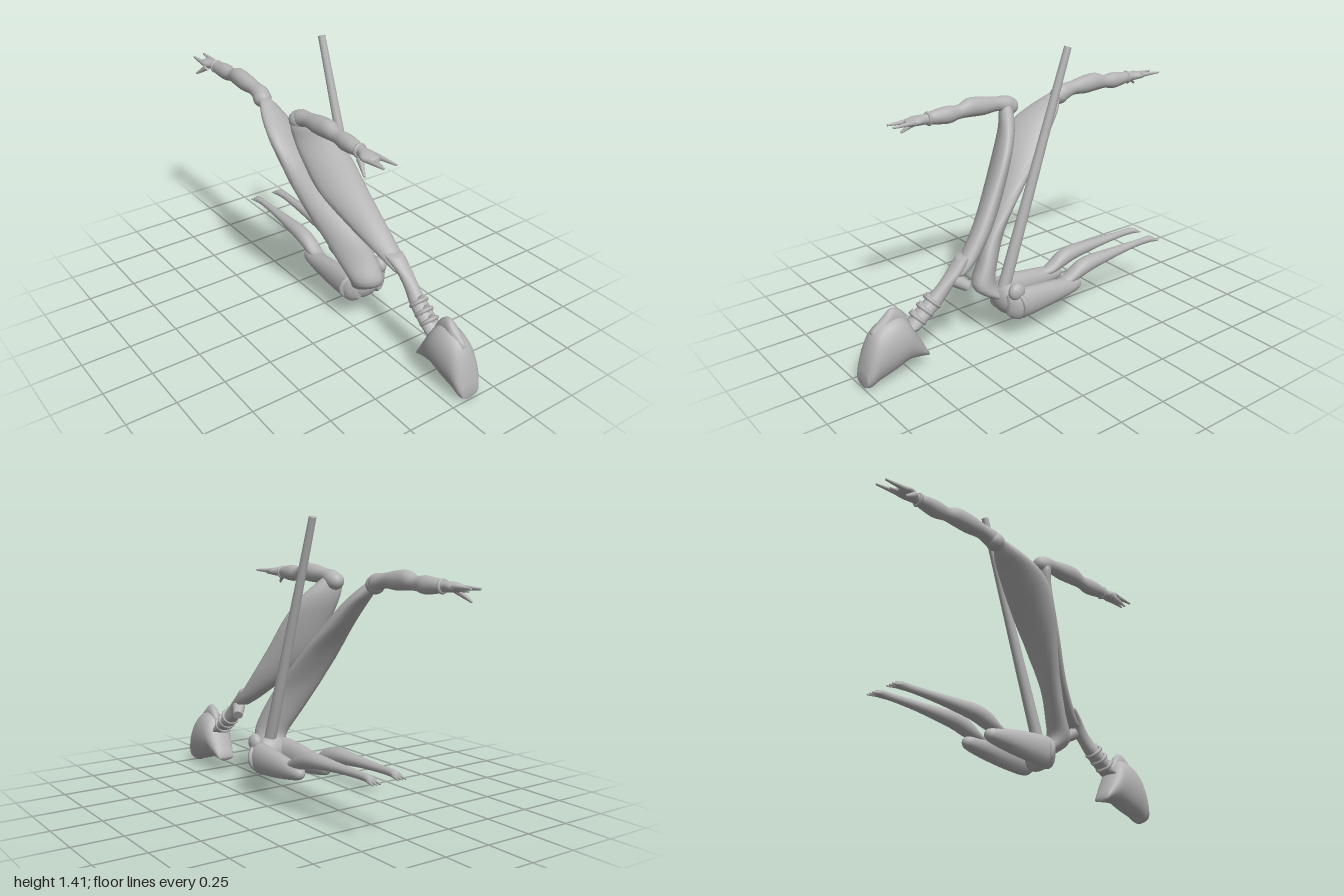
import * as THREE from 'three';

const grey = new THREE.MeshStandardMaterial({ color: 0xb4b4b4 });
grey.name = 'plain grey';

// Smooth closed skin through elliptical sections [x, y, z, halfA, halfB, degrees].
// axis 'z': sections lie in the xy plane; axis 'y': sections lie in the xz plane.
function loft(name, axis, rows, sides = 16, steps = 4) {
  const spline = (k, s) => {
    const i = Math.min(Math.floor(s), rows.length - 2), t = s - i;
    const at = (j) => rows[Math.max(0, Math.min(rows.length - 1, j))][k] || 0;
    const m0 = (at(i + 1) - at(i - 1)) / 2, m1 = (at(i + 2) - at(i)) / 2;
    const t2 = t * t, t3 = t2 * t;
    return (2 * t3 - 3 * t2 + 1) * at(i) + (t3 - 2 * t2 + t) * m0 + (3 * t2 - 2 * t3) * at(i + 1) + (t3 - t2) * m1;
  };
  const pos = [], idx = [], n = (rows.length - 1) * steps;
  for (let r = 0; r <= n; r++) {
    const [x, y, z, a, b, deg] = [0, 1, 2, 3, 4, 5].map((k) => spline(k, r / steps));
    const turn = THREE.MathUtils.degToRad(deg);
    for (let s = 0; s < sides; s++) {
      const q = (s / sides) * Math.PI * 2;
      const p = a * Math.cos(q), w = b * Math.sin(q);
      const u = p * Math.cos(turn) - w * Math.sin(turn), v = p * Math.sin(turn) + w * Math.cos(turn);
      pos.push(x + u, axis === 'z' ? y + v : y, axis === 'z' ? z : z + v);
    }
  }
  const first = rows[0], last = rows[rows.length - 1];
  const flip = axis === 'z' ? last[2] < first[2] : last[1] > first[1];
  const tri = (a, b, c) => (flip ? idx.push(a, c, b) : idx.push(a, b, c));
  const c0 = pos.length / 3;
  pos.push(...first.slice(0, 3), ...last.slice(0, 3));
  for (let s = 0; s < sides; s++) {
    const t = (s + 1) % sides;
    for (let r = 0; r < n; r++) {
      const a = r * sides + s, b = r * sides + t;
      tri(a, b, b + sides);
      tri(a, b + sides, a + sides);
    }
    tri(c0, t, s);
    tri(c0 + 1, n * sides + s, n * sides + t);
  }
  const g = new THREE.BufferGeometry();
  g.setAttribute('position', new THREE.Float32BufferAttribute(pos, 3));
  g.setIndex(idx);
  g.computeVertexNormals();
  return named(name, g);
}

function named(name, geometry) {
  const m = new THREE.Mesh(geometry, grey);
  m.name = name;
  return m;
}

function ball(name, [x, y, z], [a, b, c]) {
  const m = named(name, new THREE.SphereGeometry(1, 16, 12));
  m.position.set(x, y, z);
  m.scale.set(a, b, c);
  return m;
}

// Tapered round bar between two points
function rod(name, from, to, r0, r1, sides = 8) {
  const a = new THREE.Vector3(...from), d = new THREE.Vector3(...to).sub(a);
  const m = named(name, new THREE.CylinderGeometry(r1, r0, d.length(), sides));
  m.position.copy(a).addScaledVector(d, 0.5);
  m.quaternion.setFromUnitVectors(new THREE.Vector3(0, 1, 0), d.normalize());
  return m;
}

function ring(name, p, normal, radius, tube) {
  const m = named(name, new THREE.TorusGeometry(radius, tube, 8, 20));
  m.position.set(...p);
  m.quaternion.setFromUnitVectors(new THREE.Vector3(0, 0, 1), new THREE.Vector3(...normal).normalize());
  return m;
}

function makeArm(name, mapZ) {
  const arm = new THREE.Group();
  arm.name = name;
  const at = (x, y, z) => [x, y, mapZ(z)];
  const rows = [
    [-0.14, 1.10, -0.04, 0.02, 0.025], [-0.14, 1.10, 0.0, 0.042, 0.045], [-0.14, 1.115, 0.07, 0.036, 0.036],
    [-0.14, 1.12, 0.15, 0.042, 0.046], [-0.138, 1.125, 0.23, 0.04, 0.046], [-0.137, 1.115, 0.29, 0.031, 0.034],
    [-0.137, 1.112, 0.35, 0.038, 0.042], [-0.14, 1.112, 0.42, 0.034, 0.034], [-0.14, 1.112, 0.47, 0.025, 0.025],
    [-0.145, 1.112, 0.52, 0.042, 0.022], [-0.143, 1.11, 0.56, 0.036, 0.016], [-0.14, 1.11, 0.575, 0.022, 0.01],
  ].map(([x, y, z, a, b]) => [...at(x, y, z), a, b]);
  arm.add(loft('armAndPalm', 'z', rows));
  arm.add(ball('shoulder', at(-0.145, 1.09, -0.01), [0.045, 0.045, 0.05]));
  arm.add(ring('wristBand', at(-0.14, 1.112, 0.455), [0, 0, 1], 0.026, 0.009));
  // Three fingers and a thumb
  [[-0.17, 1.11, -0.165, 1.112, 0.655], [-0.142, 1.108, -0.14, 1.10, 0.61], [-0.118, 1.115, -0.103, 1.115, 0.66]]
    .forEach(([x0, y0, x1, y1, z1]) => arm.add(rod('finger', at(x0, y0, 0.54), at(x1, y1, z1), 0.014, 0.005)));
  arm.add(rod('thumb', at(-0.172, 1.10, 0.5), at(-0.2, 1.05, 0.57), 0.017, 0.005));
  return arm;
}

function makeLeg(name, side) {
  const leg = new THREE.Group();
  leg.name = name;
  const X = (d) => 0.107 + side * d;
  leg.add(loft('thigh', 'z', [
    [X(0.065), 0.2, 0.24, 0.02, 0.05], [X(0.075), 0.2, 0.2, 0.05, 0.08], [X(0.082), 0.2, 0.12, 0.05, 0.077],
    [X(0.082), 0.2, 0.0, 0.047, 0.065], [X(0.08), 0.2, -0.13, 0.042, 0.045], [X(0.078), 0.2, -0.19, 0.03, 0.03],
    [X(0.078), 0.2, -0.21, 0.008, 0.01],
  ]));
  leg.add(loft('shin', 'z', [
    [X(0.072), 0.225, -0.07, 0.02, 0.015], [X(0.072), 0.235, -0.13, 0.036, 0.025], [X(0.073), 0.265, -0.2, 0.041, 0.042],
    [X(0.074), 0.285, -0.28, 0.04, 0.04], [X(0.073), 0.292, -0.4, 0.032, 0.03], [X(0.071), 0.296, -0.52, 0.023, 0.022],
    [X(0.07), 0.298, -0.64, 0.017, 0.018], [X(0.07), 0.297, -0.7, 0.02, 0.018], [X(0.07), 0.292, -0.73, 0.022, 0.013],
  ]));
  for (const t of [-1, 0, 1])
    leg.add(rod('toe', [X(0.07) + t * 0.014, 0.292, -0.715], [X(0.07) + t * 0.02, 0.283, -0.758], 0.01, 0.004, 6));
  leg.add(ring('hipBand', [X(0.072), 0.2, 0.19], [side * 0.25, -0.1, 1], 0.062, 0.014));
  return leg;
}

export function createModel() {
  const model = new THREE.Group();
  model.name = 'stretchedFigure';

  // Head: wedge-shaped skull with a narrow crest
  model.add(loft('head', 'z', [
    [0.1, 0.045, 1.0, 0.05, 0.035], [0.1, 0.09, 0.975, 0.068, 0.088], [0.1, 0.145, 0.93, 0.078, 0.125],
    [0.1, 0.178, 0.85, 0.084, 0.135], [0.1, 0.185, 0.78, 0.08, 0.115], [0.1, 0.145, 0.73, 0.068, 0.075],
    [0.1, 0.08, 0.67, 0.045, 0.017],
  ], 20));
  model.add(loft('crest', 'z', [
    [0.1, 0.25, 0.94, 0.012, 0.02], [0.1, 0.28, 0.88, 0.028, 0.04], [0.1, 0.3, 0.83, 0.026, 0.055],
    [0.1, 0.28, 0.78, 0.024, 0.045], [0.1, 0.22, 0.74, 0.015, 0.03],
  ]));

  // Neck with rings and back fins
  model.add(loft('neck', 'y', [
    [0.09, 0.5, 0.43, 0.05, 0.035, 40], [0.105, 0.43, 0.5, 0.038, 0.04], [0.105, 0.36, 0.57, 0.034, 0.05],
    [0.1, 0.29, 0.65, 0.044, 0.06], [0.1, 0.22, 0.74, 0.045, 0.05],
  ]));
  [[0.32, 0.62], [0.29, 0.66], [0.26, 0.7]].forEach(([y, z]) => {
    model.add(ring('neckRing', [0.1, y, z], [0, -0.65, 0.75], 0.04, 0.01));
    model.add(rod('neckFin', [0.1, y + 0.015, z + 0.01], [0.1, y + 0.055, z + 0.025], 0.024, 0.003));
  });
  model.add(rod('collarKnob', [0.115, 0.4, 0.5], [0.15, 0.365, 0.45], 0.034, 0.026, 12));

  // Front half of the torso, drawn out from shoulder to neck
  model.add(loft('frontTorso', 'y', [
    [-0.14, 1.12, 0.01, 0.025, 0.02, 30], [-0.125, 1.07, 0.02, 0.07, 0.035, 30], [-0.09, 1.0, 0.045, 0.1, 0.04, 30],
    [-0.055, 0.9, 0.095, 0.118, 0.045, 30], [-0.015, 0.75, 0.175, 0.12, 0.05, 35], [0.045, 0.6, 0.285, 0.095, 0.05, 40],
    [0.09, 0.48, 0.4, 0.062, 0.045, 45], [0.105, 0.42, 0.47, 0.035, 0.035, 45],
  ], 20));

  // Rear half of the torso, twisting from shoulder to pelvis
  model.add(loft('rearTorso', 'y', [
    [-0.15, 1.1, -0.3, 0.03, 0.025, -40], [-0.15, 1.04, -0.23, 0.08, 0.05, -40], [-0.145, 0.97, -0.15, 0.11, 0.06, -35],
    [-0.12, 0.86, -0.06, 0.115, 0.065, -25], [-0.075, 0.7, 0.05, 0.105, 0.06, 10], [-0.025, 0.53, 0.165, 0.105, 0.05, 38],
    [0.015, 0.4, 0.24, 0.1, 0.05, 40], [0.045, 0.29, 0.29, 0.085, 0.06, 40], [0.07, 0.22, 0.23, 0.06, 0.05, 20],
  ], 20));

  // Pelvis and its side joint
  model.add(ball('pelvis', [0.1, 0.21, 0.2], [0.1, 0.085, 0.06]));
  model.add(ball('hipJoint', [0.195, 0.275, 0.2], [0.032, 0.045, 0.045]));

  // Long tapering pole rising from the pelvis
  model.add(rod('pole', [0.103, 0.22, 0.225], [0.103, 1.405, -0.175], 0.032, 0.018, 16));

  model.add(makeArm('frontArm', (z) => z), makeArm('rearArm', (z) => -0.34 - z));
  model.add(makeLeg('leftLeg', 1), makeLeg('rightLeg', -1));
  return model;
}
